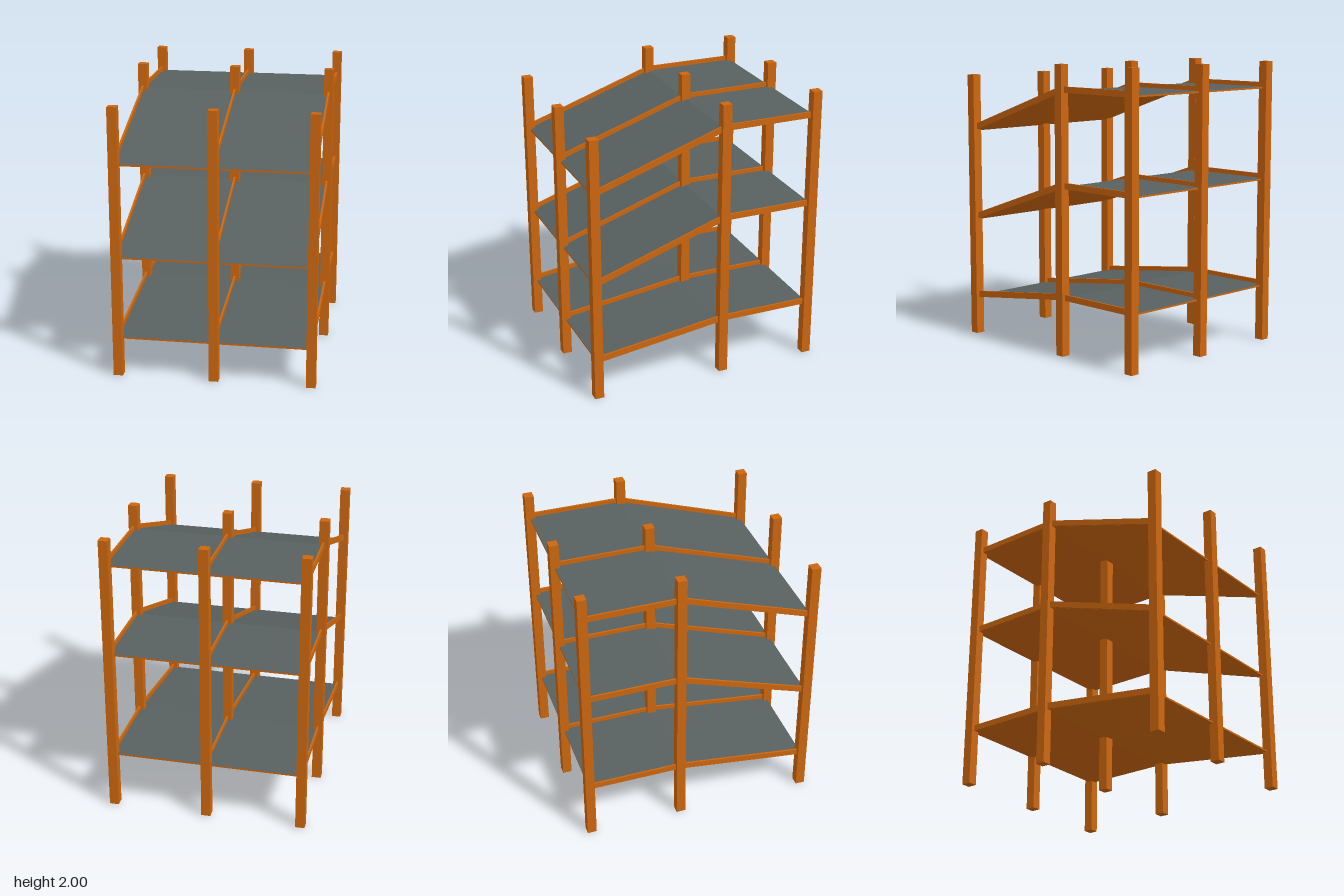
import * as THREE from 'three';

export function createModel() {
  const wood = new THREE.MeshStandardMaterial({ color: 0xcc660e });
  wood.name = 'orangeWood';
  const grey = new THREE.MeshStandardMaterial({ color: 0x586060 });
  grey.name = 'greySurface';

  const group = new THREE.Group();
  const columns = [-0.667, 0, 0.667];
  const frontZ = 0.8, midZ = -0.133, backZ = -0.8;

  function add(geometry, material, name) {
    const mesh = new THREE.Mesh(geometry, material);
    mesh.name = name;
    group.add(mesh);
    return mesh;
  }

  // Box running from z0 to z1 whose underside climbs from y0 to y1
  function slopedBar(width, height, z0, y0, z1, y1) {
    const g = new THREE.BoxGeometry(width, height, Math.abs(z1 - z0));
    g.translate(0, height / 2, (z0 + z1) / 2);
    const p = g.attributes.position;
    for (let i = 0; i < p.count; i++) {
      const t = (p.getZ(i) - z0) / (z1 - z0);
      p.setY(i, p.getY(i) + y0 + (y1 - y0) * t);
    }
    g.computeVertexNormals();
    return g;
  }

  // Nine square posts, the front row shorter
  const rows = [['frontPost', frontZ, 1.895], ['middlePost', midZ, 2], ['backPost', backZ, 2]];
  for (const [name, z, height] of rows) {
    for (const x of columns) {
      add(new THREE.BoxGeometry(0.065, height, 0.065), wood, name).position.set(x, height / 2, z);
    }
  }

  // Three tiers: a sloping front board and a level back board, [front y, back y]
  const boardFaces = [wood, wood, grey, wood, wood, wood];
  for (const [yFront, yBack] of [[0.262, 0.387], [0.84, 1.158], [1.49, 1.808]]) {
    add(slopedBar(1.322, 0.012, frontZ, yFront, midZ, yBack), boardFaces, 'slopedShelf');
    add(slopedBar(1.322, 0.012, midZ, yBack, backZ, yBack), boardFaces, 'levelShelf');

    // Thin rails along each post line
    for (const x of columns) {
      add(slopedBar(0.013, 0.044, frontZ, yFront + 0.001, midZ, yBack + 0.001), wood, 'slopedRail').position.x = x;
      add(slopedBar(0.013, 0.042, midZ, yBack + 0.001, backZ, yBack + 0.001), wood, 'levelRail').position.x = x;
    }
  }
  return group;
}
